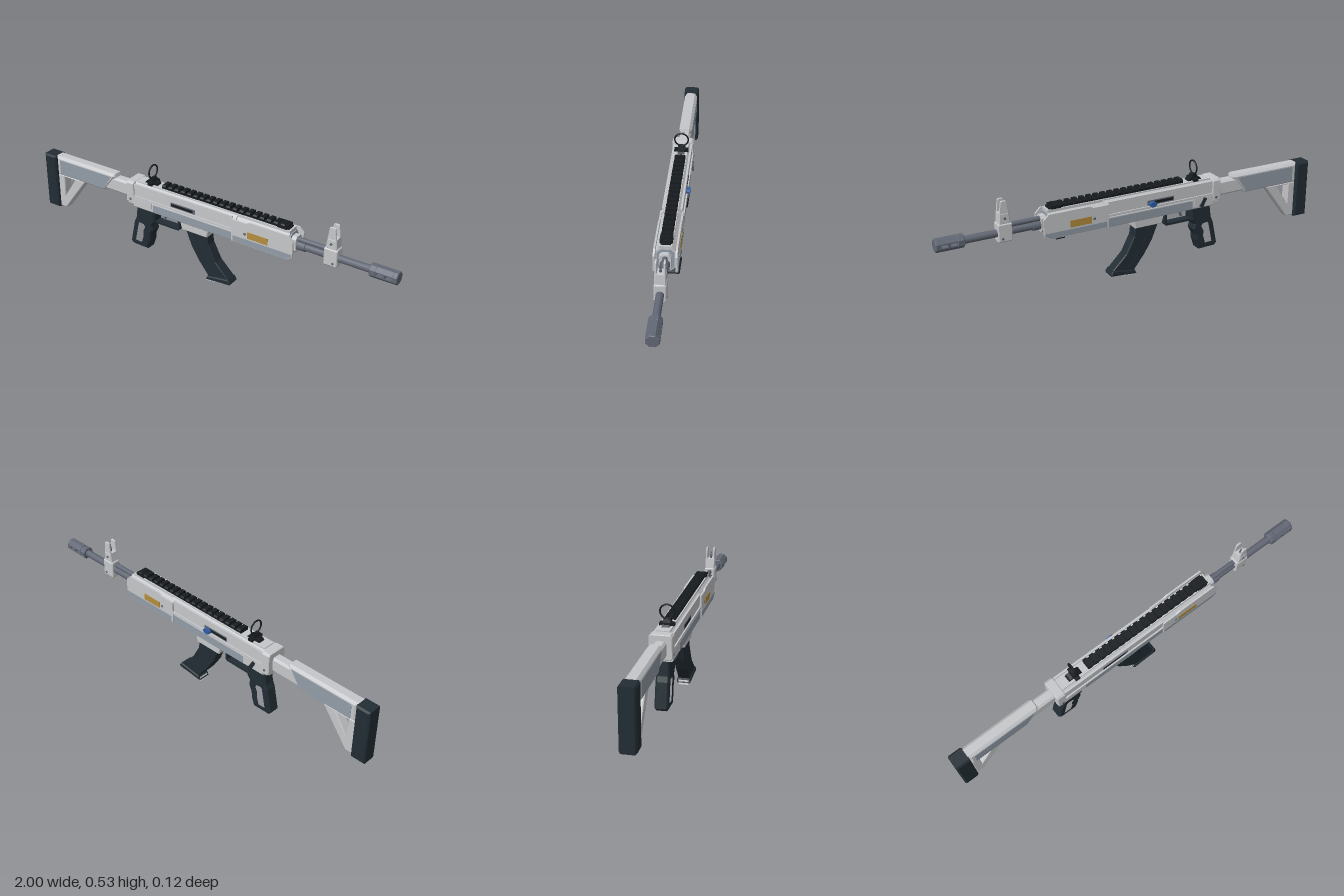
import * as THREE from 'three';

const mat = (name, color) => {
  const m = new THREE.MeshStandardMaterial({ color });
  m.name = name;
  return m;
};

export function createModel() {
  const light = mat('light grey', 0xc6c7ca);
  const slate = mat('slate grey', 0x929ca7);
  const black = mat('blue black', 0x222d34);
  const dark = mat('rail black', 0x171c20);
  const steel = mat('gun steel', 0x626875);
  const gold = mat('gold', 0xb58d3d);
  const blue = mat('blue', 0x2f5ca6);

  const root = new THREE.Group();
  root.name = 'rifle';
  const body = new THREE.Group();
  body.name = 'rifleBody';
  body.position.z = 0.006;
  root.add(body);

  const add = (name, geo, material) => {
    const mesh = new THREE.Mesh(geo, material);
    mesh.name = name;
    body.add(mesh);
    return mesh;
  };
  const poly = (pts, T = THREE.Shape) => new T(pts.map(p => new THREE.Vector2(p[0], p[1])));
  const extrude = (shape, depth, bevel) => new THREE.ExtrudeGeometry(shape, {
    depth: depth - 2 * bevel, bevelEnabled: bevel > 0, bevelThickness: bevel,
    bevelSize: bevel, bevelOffset: -bevel, bevelSegments: 1, curveSegments: 6,
  }).translate(0, 0, bevel - depth / 2);
  // Side profile in x and y, given a width across z
  const profile = (name, pts, width, material, bevel = 0, z = 0, hole = null) => {
    const shape = poly(pts);
    if (hole) shape.holes.push(poly(hole, THREE.Path));
    return add(name, extrude(shape, width, bevel).translate(0, 0, z), material);
  };
  const box = (name, x0, x1, y0, y1, width, material, z = 0) =>
    add(name, new THREE.BoxGeometry(x1 - x0, y1 - y0, width)
      .translate((x0 + x1) / 2, (y0 + y1) / 2, z), material);
  // Cross-section in z and y, run along x
  const prism = (name, pts, x0, x1, material, bevel = 0) =>
    add(name, extrude(poly(pts), x1 - x0, bevel).rotateY(Math.PI / 2)
      .translate((x0 + x1) / 2, 0, 0), material);
  const octagon = (w, y0, y1, c) => [[-w, y0 + c], [-w + c, y0], [w - c, y0], [w, y0 + c],
    [w, y1 - c], [w - c, y1], [-w + c, y1], [-w, y1 - c]];
  const rod = (name, r, x0, x1, y, material, sides = 16) =>
    add(name, new THREE.CylinderGeometry(r, r, x1 - x0, sides).rotateZ(Math.PI / 2)
      .translate((x0 + x1) / 2, y, 0), material);

  // Stock
  profile('buttPad', [[-1, 0.125], [-0.925, 0.125], [-0.925, 0.42], [-1, 0.42]], 0.078, black, 0.008);
  profile('stockBody', [[-0.927, 0.315], [-0.61, 0.315], [-0.54, 0.405], [-0.545, 0.422], [-0.927, 0.422]],
    0.064, light, 0.012);
  profile('stockStrut', [[-0.927, 0.13], [-0.885, 0.13], [-0.745, 0.318], [-0.927, 0.318]], 0.05, light, 0.005, 0,
    [[-0.885, 0.205], [-0.885, 0.308], [-0.815, 0.308]]);
  prism('stockTube', octagon(0.027, 0.325, 0.402, 0.01), -0.62, -0.44, light);

  // Receiver
  prism('upperReceiver', octagon(0.046, 0.315, 0.428, 0.018), -0.43, 0.19, light);
  prism('rearBlock', octagon(0.054, 0.31, 0.43, 0.01), -0.45, -0.405, light, 0.003);
  prism('lowerReceiver', octagon(0.049, 0.29, 0.35, 0.008), -0.41, 0.18, light);
  box('topCover', -0.4, 0.47, 0.42, 0.432, 0.06, light);
  profile('magazineWell', [[-0.125, 0.25], [0.02, 0.25], [0.03, 0.3], [-0.14, 0.3]], 0.078, light, 0.004);

  // Handguard core with its face and fore block
  prism('handguardCore', octagon(0.046, 0.298, 0.425, 0.024), 0.17, 0.47, light);
  prism('handguardFace', octagon(0.04, 0.306, 0.416, 0.02), 0.468, 0.476, slate);
  prism('foreBlock', octagon(0.027, 0.325, 0.405, 0.012), 0.47, 0.5, light);
  box('handguardCatch', 0.385, 0.43, 0.277, 0.302, 0.05, dark);

  // Details repeated on both sides
  for (const s of [1, -1]) {
    const plate = (name, pts, z, t, m) => profile(name, pts, t, m, 0, s * z);
    const panel = (name, x0, x1, y0, y1, z, t, m) => box(name, x0, x1, y0, y1, t, m, s * z);
    plate('stockPanel', [[-0.9, 0.327], [-0.617, 0.327], [-0.565, 0.405], [-0.9, 0.405]], 0.0325, 0.003, slate);
    plate('handguardSide', [[0.17, 0.297], [0.47, 0.297], [0.5, 0.315], [0.5, 0.395], [0.475, 0.42],
      [0.27, 0.42], [0.25, 0.41], [0.17, 0.41]], 0.05, 0.009, light);
    plate('handguardLowerPanel', [[0.18, 0.299], [0.468, 0.299], [0.497, 0.316], [0.497, 0.328], [0.18, 0.328]],
      0.055, 0.002, slate);
    panel('goldInset', 0.26, 0.37, 0.336, 0.37, 0.0545, 0.004, gold);
    panel('sideRail', -0.44, 0.17, 0.347, 0.358, 0.049, 0.008, light);
    panel('sideTopRail', -0.41, 0.17, 0.392, 0.42, 0.043, 0.01, light);
    panel('lowerPanel', -0.29, 0.17, 0.298, 0.338, 0.049, 0.003, slate);
    panel('rearPlate', -0.44, -0.3, 0.312, 0.346, 0.05, 0.006, light);
    panel('boltSlot', -0.185, -0.04, 0.362, 0.386, 0.046, 0.003, steel);
    panel('boltSlotShadow', -0.18, -0.055, 0.367, 0.38, 0.047, 0.003, dark);
    for (const [x, y] of [[-0.425, 0.335], [0.245, 0.355]])
      add('pin', new THREE.CylinderGeometry(0.007, 0.007, 0.006, 10).rotateX(Math.PI / 2)
        .translate(x, y, s * 0.053), steel);
  }

  // Charging button and selector lever on the far side
  add('chargingButton', new THREE.CylinderGeometry(0.013, 0.013, 0.022, 12).scale(1.5, 1, 1)
    .rotateX(Math.PI / 2).scale(1, 1, 1).translate(-0.065, 0.368, -0.054), blue);
  add('selectorLever', new THREE.BoxGeometry(0.018, 0.05, 0.01).rotateZ(0.5)
    .translate(-0.35, 0.322, -0.053), black);

  // Top rail and its teeth
  box('railBase', -0.25, 0.46, 0.428, 0.439, 0.046, dark);
  const teeth = 19;
  for (let i = 0; i < teeth; i++) {
    const x = -0.248 + i * 0.037;
    prism('railTooth', octagon(0.027, 0.433, 0.452, 0.006), x, x + 0.021, dark);
  }
  box('railEnd', 0.4, 0.45, 0.425, 0.447, 0.058, dark);

  // Rear sight
  profile('rearSightBase', [[-0.36, 0.428], [-0.28, 0.428], [-0.29, 0.442], [-0.305, 0.447], [-0.31, 0.462],
    [-0.33, 0.462], [-0.335, 0.447], [-0.35, 0.442]], 0.035, dark);
  box('rearSightCrossbar', -0.33, -0.305, 0.43, 0.444, 0.07, dark);
  add('rearSightRing', new THREE.TorusGeometry(0.0335, 0.004, 8, 32).rotateY(Math.PI / 2)
    .translate(-0.32, 0.495, 0), dark);

  // Barrel, gas tube and slotted muzzle
  const axis = 0.358;
  rod('barrel', 0.018, 0.48, 0.88, axis, steel);
  rod('barrelCollar', 0.023, 0.48, 0.54, axis, steel);
  rod('gasTube', 0.012, 0.48, 0.66, 0.388, steel);
  const muzzle = octagon(0.03, axis - 0.03, axis + 0.03, 0.0175);
  prism('muzzleRear', muzzle, 0.865, 0.9, steel, 0.004);
  prism('muzzleBridge', muzzle, 0.932, 0.944, steel);
  prism('muzzleTip', muzzle, 0.976, 1, steel, 0.003);
  for (const s of [1, -1]) {
    const half = [[-0.03, 0.007], [0.03, 0.007], [0.03, 0.0125], [0.0125, 0.03], [-0.0125, 0.03], [-0.03, 0.0125]];
    prism('muzzleSlotWall', half.map(([z, y]) => [z, axis + s * y]), 0.898, 0.978, steel);
  }
  add('bore', new THREE.CircleGeometry(0.014, 16).rotateY(Math.PI / 2).translate(1.0005, axis, 0), steel);

  // Front sight: block, tapered foot, two ears and a post
  prism('frontSightBlock', octagon(0.027, 0.316, 0.408, 0.007), 0.642, 0.71, light, 0.004);
  profile('frontSightFoot', [[0.648, 0.405], [0.704, 0.405], [0.7, 0.457], [0.655, 0.457]], 0.05, light, 0.004);
  for (const s of [1, -1]) {
    profile('frontSightEar', [[0.655, 0.452], [0.7, 0.452], [0.692, 0.512], [0.686, 0.516], [0.668, 0.516],
      [0.662, 0.51]], 0.009, light, 0.002, s * 0.019);
    for (const [x, y] of [[0.676, 0.432], [0.69, 0.335]])
      add('sightPin', new THREE.CylinderGeometry(0.006, 0.006, 0.006, 10).rotateX(Math.PI / 2)
        .translate(x, y, s * 0.026), steel);
  }
  add('frontSightPost', new THREE.ConeGeometry(0.007, 0.05, 8).translate(0.677, 0.478, 0), steel);

  // Open-framed pistol grip
  profile('grip', [[-0.405, 0.295], [-0.295, 0.295], [-0.298, 0.225], [-0.318, 0.2], [-0.311, 0.175],
    [-0.328, 0.14], [-0.33, 0.11], [-0.347, 0.06], [-0.44, 0.062], [-0.452, 0.075], [-0.427, 0.195],
    [-0.415, 0.22]], 0.064, black, 0.008, 0,
    [[-0.405, 0.195], [-0.395, 0.21], [-0.358, 0.205], [-0.348, 0.185], [-0.362, 0.155], [-0.36, 0.13],
      [-0.375, 0.08], [-0.428, 0.085]]);

  // Trigger and guard
  profile('triggerGuard', [[-0.3, 0.222], [-0.16, 0.222], [-0.152, 0.23], [-0.152, 0.295], [-0.164, 0.295],
    [-0.164, 0.234], [-0.3, 0.234]], 0.04, black);
  profile('trigger', [[-0.262, 0.295], [-0.238, 0.295], [-0.243, 0.272], [-0.25, 0.25], [-0.258, 0.25],
    [-0.252, 0.272]], 0.014, steel);

  // Curved magazine with a base and floor plate
  profile('magazine', [[-0.115, 0.262], [0.015, 0.262], [0.022, 0.205], [0.066, 0.12], [0.14, 0.045],
    [0.022, 0.028], [-0.035, 0.1], [-0.078, 0.17]], 0.058, black, 0.005);
  profile('magazineRib', [[-0.075, 0.25], [-0.06, 0.25], [-0.03, 0.165], [0.02, 0.09], [0.06, 0.05],
    [0.045, 0.045], [0.005, 0.085], [-0.045, 0.16]], 0.062, black);
  profile('magazineBase', [[0.02, 0.03], [0.07, 0.038], [0.14, 0.048], [0.152, 0.03], [0.148, 0.02],
    [0.09, 0.016], [0.01, 0.008]], 0.068, black, 0.005);
  profile('magazineFloorPlate', [[0.008, 0], [0.075, 0.009], [0.1, 0.022], [0.015, 0.021]], 0.05, light);

  return root;
}
